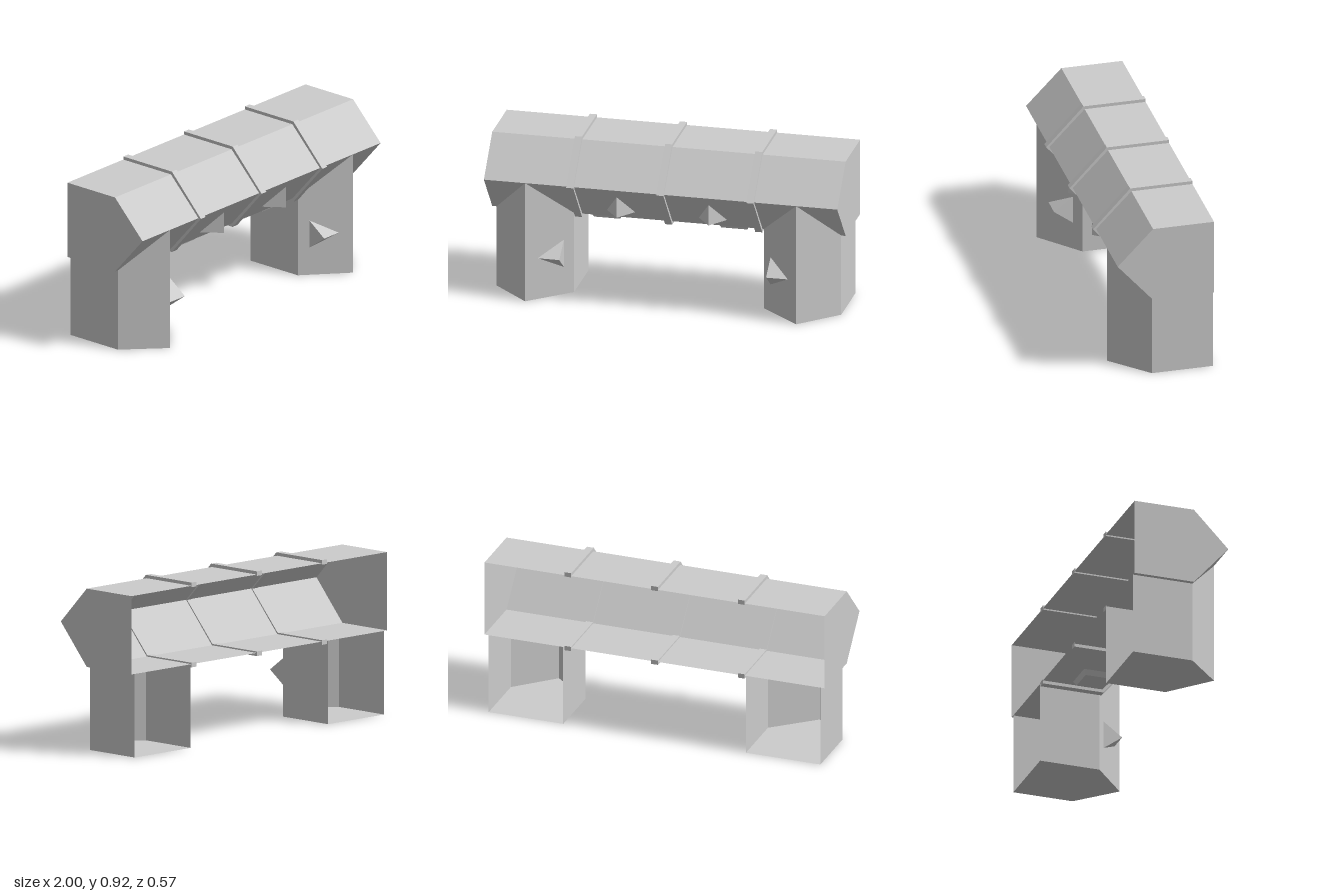
import * as THREE from 'three';

const material = new THREE.MeshStandardMaterial({ color: 0xcccccc, flatShading: true, side: THREE.DoubleSide });

// Flat-shaded mesh from convex polygons, each a list of [x, y, z] corners
function facets(name, polygons) {
  const positions = [];
  for (const p of polygons) {
    for (let i = 1; i < p.length - 1; i++) positions.push(...p[0], ...p[i], ...p[i + 1]);
  }
  const geometry = new THREE.BufferGeometry();
  geometry.setAttribute('position', new THREE.Float32BufferAttribute(positions, 3));
  geometry.computeVertexNormals();
  const mesh = new THREE.Mesh(geometry, material);
  mesh.name = name;
  return mesh;
}

// Shared levels: back edge, shoulder and ridge depths; floor, ridge and roof heights
const BACK = -0.282, SHOULDER = 0.065, RIDGE = 0.266;
const FLOOR = 0.467, MID = 0.697, ROOF = 0.905;

// Lintel cross-section [z, y] pushed outwards by d, open at the back
const section = (d) => [
  [BACK, FLOOR - d], [SHOULDER + d * 0.4, FLOOR - d], [RIDGE + d, MID],
  [SHOULDER + d * 0.4, ROOF + d], [BACK, ROOF + d],
];

// Hollow beam, closed at both ends
function createLintel() {
  const profile = section(0);
  const at = (x) => profile.map(([z, y]) => [x, y, z]);
  const a = at(1), b = at(-1);
  const faces = [a, b.slice().reverse()];
  for (let i = 0; i < 4; i++) faces.push([a[i], b[i], b[i + 1], a[i + 1]]);
  return facets('lintel', faces);
}

// Thin strap wrapped around the beam, showing slightly on the inside
function createBand(x) {
  const outer = section(0.018), inner = section(-0.008);
  const outline = [...outer, ...inner.reverse()];
  const shape = new THREE.Shape(outline.map(([z, y]) => new THREE.Vector2(-z, y)));
  const geometry = new THREE.ExtrudeGeometry(shape, { depth: 0.04, bevelEnabled: false });
  geometry.translate(0, 0, -0.02).rotateY(Math.PI / 2);
  const mesh = new THREE.Mesh(geometry, material);
  mesh.name = 'band';
  mesh.position.x = x;
  return mesh;
}

// Hollow leg, open at the back, its top cut to meet the beam's lower slope
function createLeg(s) {
  const plan = [
    [0.975, BACK, FLOOR], [0.975, SHOULDER, FLOOR], [0.767, RIDGE, MID],
    [0.537, SHOULDER, FLOOR], [0.537, BACK, FLOOR],
  ];
  const low = plan.map(([x, z]) => [s * x, 0, z]);
  const high = plan.map(([x, z, y]) => [s * x, y, z]);
  const faces = [low];
  for (let i = 0; i < 4; i++) faces.push([low[i], low[i + 1], high[i + 1], high[i]]);
  if (s > 0) faces.forEach((f) => f.reverse());
  return facets('leg', faces);
}

// Three-sided spike: two corners and a point on the wall, plus a free tip
function createSpike(name, s, base1, base2, top, tip) {
  const [a, b, c, d] = [base1, base2, top, tip].map(([x, y, z]) => [s * x, y, z]);
  const faces = [[a, d, c], [d, b, c], [a, b, d], [b, a, c]];
  if (s < 0) faces.forEach((f) => f.reverse());
  return facets(name, faces);
}

// Tapered pad under the beam
function createPad(s) {
  const geometry = new THREE.BoxGeometry(0.18, 0.028, 0.157);
  const p = geometry.attributes.position;
  for (let i = 0; i < p.count; i++) {
    if (p.getY(i) < 0) {
      p.setX(i, p.getX(i) * 0.82);
      p.setZ(i, p.getZ(i) * 0.82);
    }
  }
  geometry.computeVertexNormals();
  const mesh = new THREE.Mesh(geometry, material);
  mesh.name = 'pad';
  mesh.position.set(s * 0.36, FLOOR - 0.0145, -0.042);
  return mesh;
}

export function createModel() {
  const model = new THREE.Group();
  model.name = 'gateway';
  model.add(createLintel());
  for (const x of [-0.51, 0, 0.51]) model.add(createBand(x));
  for (const s of [-1, 1]) {
    model.add(
      createLeg(s),
      createPad(s),
      createSpike('lintelSpike', s, [0.18, 0.52, 0.111], [0.34, 0.52, 0.111], [0.26, 0.64, 0.217], [0.26, 0.52, 0.219]),
      createSpike('legSpike', s, [0.585, 0.32, 0.107], [0.585, 0.16, 0.107], [0.708, 0.24, 0.214], [0.585, 0.24, 0.215]),
    );
  }
  return model;
}
